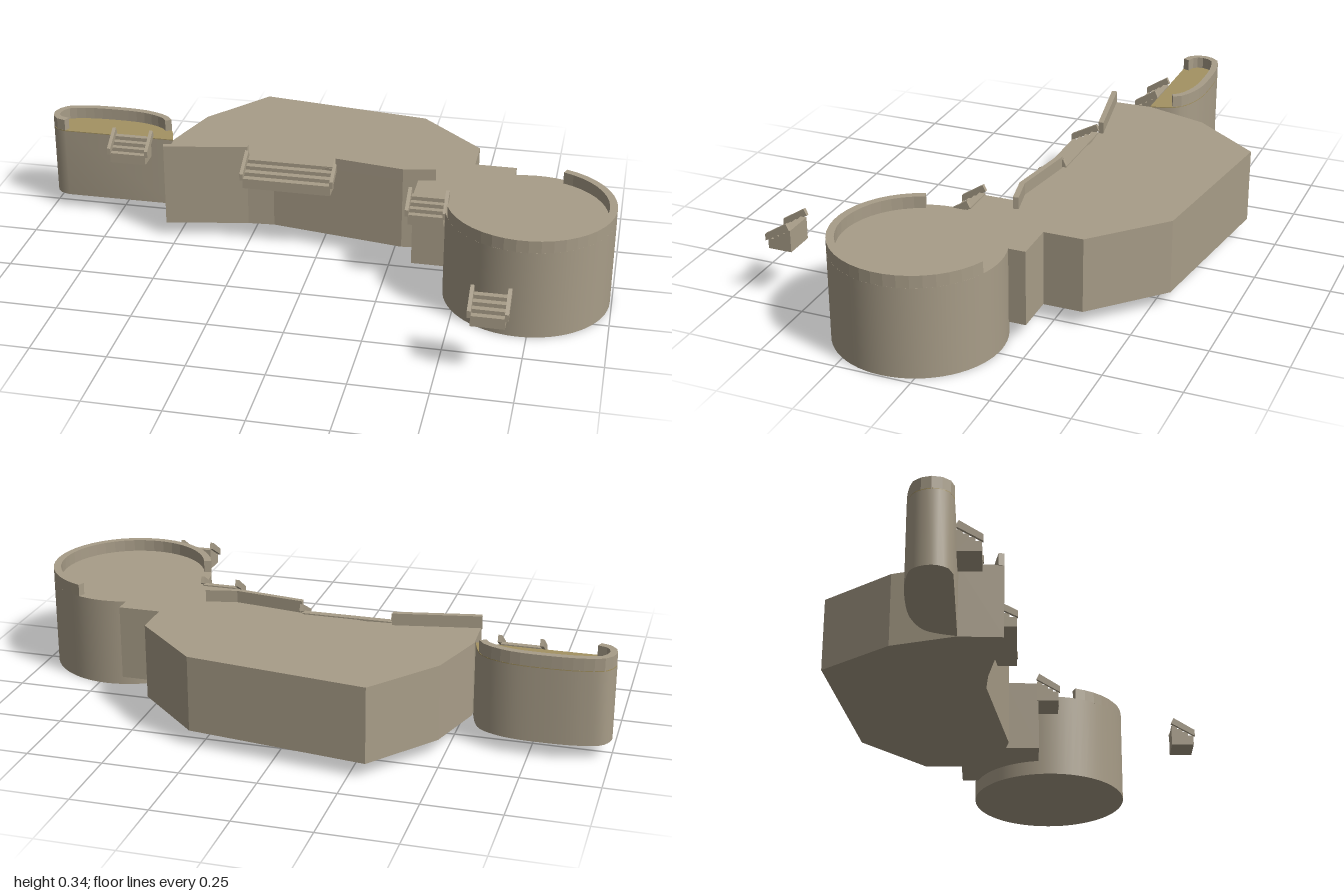
import * as THREE from 'three';
import { toCreasedNormals } from 'three/addons/utils/BufferGeometryUtils.js';

const FLOOR = 0.3, RIM = 0.34;

export function createModel() {
  const group = new THREE.Group();
  const stone = new THREE.MeshStandardMaterial({ color: 0xa89d88 });
  stone.name = 'stone';
  const sand = new THREE.MeshStandardMaterial({ color: 0xa39262 });
  sand.name = 'sand floor';

  const add = (parent, name, geometry, material = stone) => {
    const mesh = new THREE.Mesh(geometry, material);
    mesh.name = name;
    parent.add(mesh);
    return mesh;
  };

  // Upright prism from a plan outline of [x, z] points
  const prism = (plan, y0, y1) => {
    const shape = new THREE.Shape(plan.map(([x, z]) => new THREE.Vector2(x, z)));
    const g = new THREE.ExtrudeGeometry(shape, { depth: y1 - y0, bevelEnabled: false });
    return g.rotateX(Math.PI / 2).translate(0, y1, 0);
  };

  // Parapet made of one block per path segment, thickened to the inner side
  const parapet = (name, outer, inner) => {
    const wall = new THREE.Group();
    wall.name = name;
    for (let i = 0; i < outer.length - 1; i++) {
      add(wall, 'parapetBlock', prism([outer[i], outer[i + 1], inner[i + 1], inner[i]], FLOOR - 0.002, RIM));
    }
    group.add(wall);
  };

  // Main terrace with its link to the round tower
  add(group, 'mainTerrace', prism([
    [-0.545, -0.2], [-0.48, -0.41], [-0.305, -0.635], [0.285, -0.555], [0.505, -0.345],
    [0.505, -0.215], [0.645, -0.215], [0.645, 0.06], [0.335, 0.06], [0.335, -0.055],
    [0.285, -0.045], [-0.17, -0.115], [-0.26, -0.108], [-0.54, -0.055],
  ], 0.05, FLOOR));
  parapet('leftFrontParapet', [[-0.54, -0.055], [-0.26, -0.108]], [[-0.545, -0.073], [-0.26, -0.126]]);
  parapet('rightFrontParapet',
    [[0.05, -0.081], [0.285, -0.045], [0.392, -0.067]],
    [[0.05, -0.099], [0.285, -0.063], [0.388, -0.085]]);

  // Round tower and its partial parapet
  const cx = 0.722, cz = 0.102, R = 0.272;
  add(group, 'roundTower', new THREE.CylinderGeometry(R, R, FLOOR, 64).translate(cx, FLOOR / 2, cz));
  const arc = (r, n = 28) => Array.from({ length: n + 1 }, (_, i) => {
    const a = THREE.MathUtils.degToRad(-70 + (230 * i) / n);
    return [cx + r * Math.cos(a), cz + r * Math.sin(a)];
  });
  parapet('roundParapet', arc(R), arc(R - 0.025));

  // Oblong tower: straight front, curved back and ends
  const curve = new THREE.CatmullRomCurve3([
    [-0.94, -0.195], [-0.978, -0.21], [-0.998, -0.255], [-0.975, -0.31], [-0.91, -0.333],
    [-0.8, -0.342], [-0.67, -0.333], [-0.59, -0.297], [-0.565, -0.255], [-0.548, -0.197],
  ].map(([x, z]) => new THREE.Vector3(x, 0, z)));
  const plan = curve.getSpacedPoints(36).map(p => [p.x, p.z]);
  add(group, 'oblongTower', toCreasedNormals(prism(plan, 0.05, FLOOR - 0.003), 0.5));
  add(group, 'oblongFloor', prism(plan, FLOOR - 0.003, FLOOR), sand);
  const rimOuter = [], rimInner = [];
  for (let i = 0; i <= 18; i++) {
    const u = (i / 18) * 0.88;
    const p = curve.getPointAt(u), t = curve.getTangentAt(u);
    rimOuter.push([p.x, p.z]);
    rimInner.push([p.x - t.z * 0.023, p.z + t.x * 0.023]);
  }
  parapet('oblongParapet', rimOuter, rimInner);

  // Side profile of [z, y] points extruded across x
  const across = (profile, width) => {
    const shape = new THREE.Shape(profile.map(([z, y]) => new THREE.Vector2(z, y)));
    const g = new THREE.ExtrudeGeometry(shape, { depth: width, bevelEnabled: false });
    return g.translate(0, 0, -width / 2).rotateY(-Math.PI / 2);
  };

  // Short stairs, rising towards the back, with sloping side rails
  const stairs = (name, x, zBack, y, width, depth) => {
    const flight = new THREE.Group();
    flight.name = name;
    flight.position.set(x, y, zBack);
    const steps = 4, profile = [[0, 0], [depth, 0]];
    for (let i = 0; i < steps; i++) {
      const h = 0.035 + i * 0.013;
      profile.push([depth * (1 - i / steps), h], [depth * (1 - (i + 1) / steps), h]);
    }
    add(flight, 'steps', across(profile, width - 0.02));
    const rail = [[depth + 0.004, 0.03], [depth + 0.004, 0.053], [0.008, 0.101], [-0.002, 0.08]];
    for (const side of [-1, 1]) {
      add(flight, 'rail', across(rail, 0.012)).position.x = side * (width / 2 - 0.006);
    }
    group.add(flight);
  };
  stairs('mainStairs', -0.105, -0.11, 0.23, 0.32, 0.093);
  stairs('oblongTowerStairs', -0.69, -0.198, 0.23, 0.145, 0.078);
  stairs('linkStairs', 0.388, 0.054, 0.23, 0.135, 0.077);
  stairs('detachedStairs', 0.65, 0.552, 0.175, 0.125, 0.08);

  return group;
}
